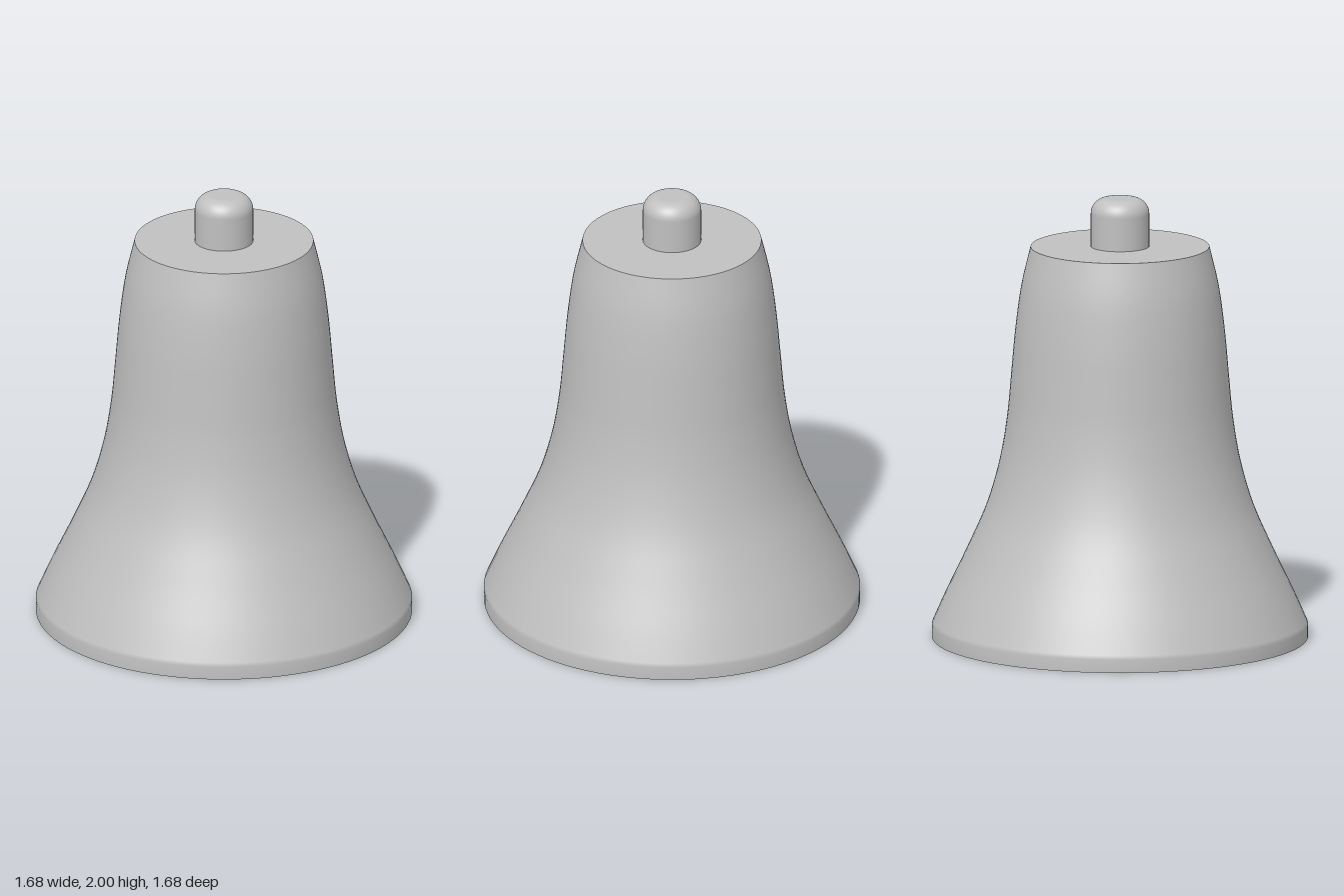
import * as THREE from 'three';

const SEGMENTS = 96;
const v = (x, y) => new THREE.Vector2(x, y);

export function createModel() {
  const metal = new THREE.MeshStandardMaterial({ color: 0xc0c0c0 });
  metal.name = 'grey metal';

  const bell = new THREE.Group();
  bell.name = 'bell';

  // Each profile is turned separately, so edges between parts stay sharp.
  const turn = (name, points) => {
    const mesh = new THREE.Mesh(new THREE.LatheGeometry(points, SEGMENTS), metal);
    mesh.name = name;
    bell.add(mesh);
  };

  // Flared curve above the straight lip
  const flare = new THREE.SplineCurve([
    v(0.842, 0.06), v(0.78, 0.2), v(0.685, 0.4), v(0.598, 0.6), v(0.54, 0.8),
    v(0.506, 1.0), v(0.487, 1.2), v(0.469, 1.4), v(0.442, 1.6), v(0.4, 1.78),
  ]).getPoints(48);

  turn('outerShell', [v(0.842, 0), ...flare]);
  turn('crownDisc', [v(0.4, 1.78), v(0, 1.78)]);
  turn('bottomRim', [v(0.74, 0), v(0.842, 0)]);

  // Hollow interior follows the outside at an even wall thickness
  const wall = 0.102;
  const ceiling = 1.68;
  const inner = flare
    .filter((p) => p.y < ceiling)
    .map((p) => v(p.x - wall, p.y - 0.06 * (1 - p.y / ceiling)))
    .reverse();
  inner[inner.length - 1].set(0.74, 0);
  turn('innerShell', inner);
  turn('innerCeiling', [v(0, inner[0].y), inner[0].clone()]);

  // Crown knob with a rounded top edge
  const radius = 0.131;
  const fillet = 0.07;
  const knob = [v(radius, 1.78)];
  for (let i = 0; i <= 12; i++) {
    const a = (i / 12) * Math.PI / 2;
    knob.push(v(radius - fillet + fillet * Math.cos(a), 2 - fillet + fillet * Math.sin(a)));
  }
  knob.push(v(0, 2));
  turn('crownKnob', knob);

  return bell;
}
